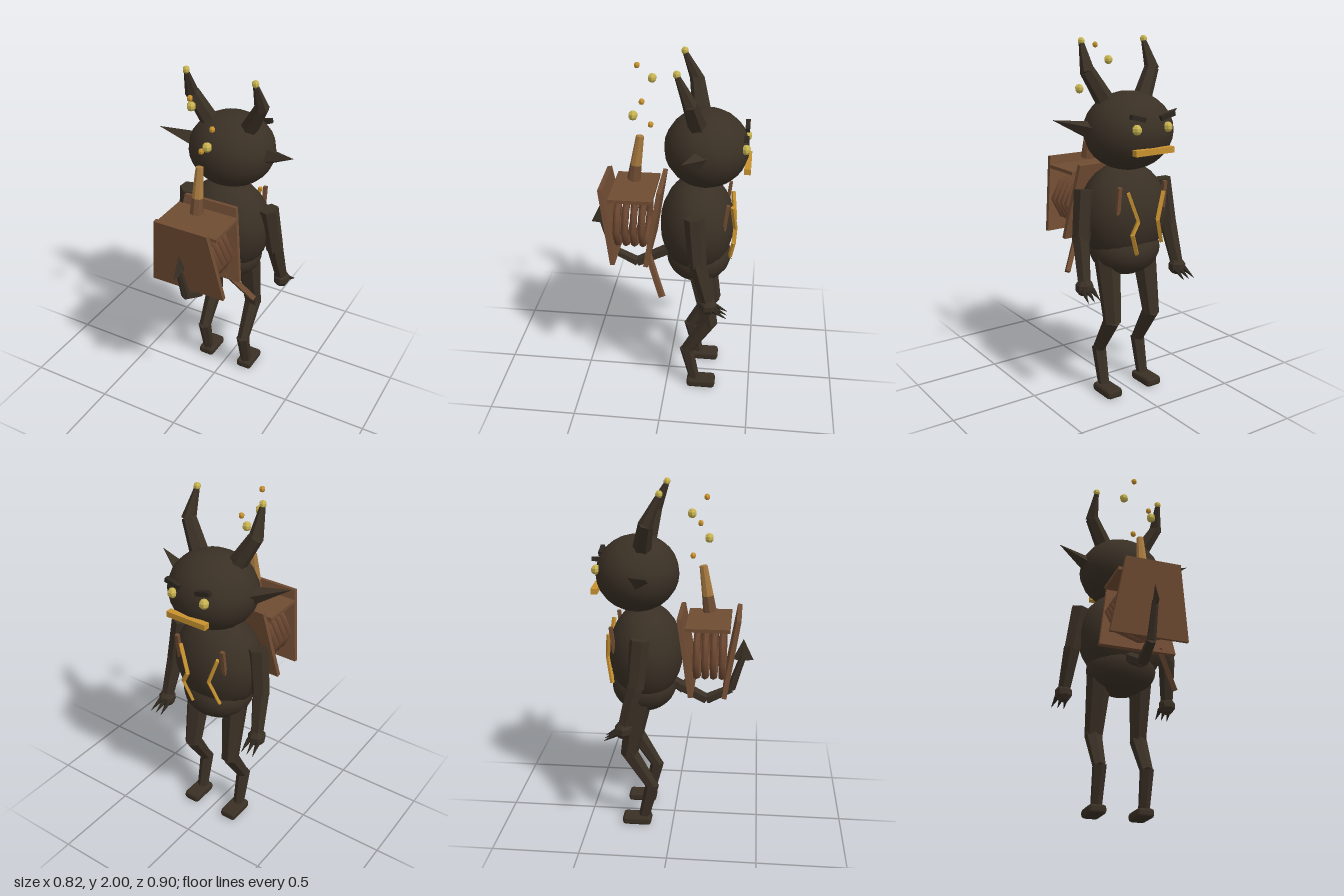
import * as THREE from 'three';
import { RoundedBoxGeometry } from 'three/addons/geometries/RoundedBoxGeometry.js';

const mat = (name, color) => {
  const m = new THREE.MeshStandardMaterial({ color });
  m.name = name;
  return m;
};
const V = (p) => new THREE.Vector3(...p);

export function createModel() {
  const hide = mat('dark hide', 0x3a3025);
  const claw = mat('claw black', 0x2c261e);
  const wood = mat('brown wood', 0x704c33);
  const pleat = mat('pleat brown', 0x6a4630);
  const brass = mat('pale brass', 0xc8b450);
  const amber = mat('amber', 0xc8922f);
  const copper = mat('copper', 0xa97a40);

  const root = new THREE.Group();
  root.name = 'hornedCreature';

  const add = (name, geo, material, pos = [0, 0, 0], rot = [0, 0, 0]) => {
    const m = new THREE.Mesh(geo, material);
    m.name = name;
    m.position.set(...pos);
    m.rotation.set(...rot);
    root.add(m);
    return m;
  };
  // faceted normals
  const flat = (g) => {
    const n = g.index ? g.toNonIndexed() : g;
    n.computeVertexNormals();
    return n;
  };
  const ellipsoid = (name, r, pos, w = 20, h = 14) => {
    const g = new THREE.SphereGeometry(1, w, h);
    g.scale(...r);
    return add(name, g, hide, pos);
  };
  // tapered prism from a to b
  const limb = (name, a, b, ra, rb, material = hide, sides = 6) => {
    const d = V(b).sub(V(a));
    const m = add(name, flat(new THREE.CylinderGeometry(rb, ra, d.length(), sides)), material,
      V(a).lerp(V(b), 0.5).toArray());
    m.quaternion.setFromUnitVectors(new THREE.Vector3(0, 1, 0), d.normalize());
    return m;
  };
  // square bar from a to b
  const bar = (name, a, b, w, t, material) => {
    const d = V(b).sub(V(a));
    const m = add(name, new THREE.BoxGeometry(w, d.length(), t), material,
      V(a).lerp(V(b), 0.5).toArray());
    m.quaternion.setFromUnitVectors(new THREE.Vector3(0, 1, 0), d.normalize());
    return m;
  };
  const bead = (name, r, material, pos) =>
    add(name, flat(new THREE.SphereGeometry(r, 6, 5)), material, pos);

  // torso and head
  ellipsoid('head', [0.25, 0.212, 0.232], [0, 1.512, -0.206]);
  ellipsoid('chest', [0.262, 0.285, 0.21], [0, 1.05, -0.163]);
  ellipsoid('pelvis', [0.205, 0.15, 0.185], [0, 0.85, -0.175]);

  for (const s of [-1, 1]) {
    const p = (x, y, z) => [s * x, y, z];

    // horns with brass tips
    limb('hornBase', p(0.12, 1.67, -0.165), p(0.21, 1.83, -0.13), 0.052, 0.04);
    limb('hornTip', p(0.21, 1.82, -0.133), p(0.203, 1.975, -0.062), 0.04, 0.014);
    bead('hornBead', 0.021, brass, p(0.203, 1.98, -0.062));

    // ears
    const ear = limb('ear', p(0.2, 1.52, -0.185), p(0.412, 1.588, -0.11), 0.065, 0.001, hide, 4);
    ear.scale.x = 0.85;

    // face
    bead('eye', 0.028, brass, p(0.1, 1.55, -0.42));
    add('brow', new THREE.BoxGeometry(0.09, 0.025, 0.025), claw, p(0.095, 1.608, -0.42), [0, 0, s * 0.25]);

    // arms
    limb('upperArm', p(0.258, 1.21, -0.165), p(0.295, 0.94, -0.19), 0.056, 0.05);
    limb('forearm', p(0.295, 0.96, -0.188), p(0.318, 0.71, -0.255), 0.05, 0.036);
    add('hand', flat(new THREE.SphereGeometry(0.052, 7, 5)), hide, p(0.318, 0.7, -0.255));
    for (const k of [-1, 0, 1])
      limb('finger', p(0.318 + k * 0.028, 0.69, -0.285), p(0.323 + k * 0.037, 0.647, -0.36), 0.016, 0.001, claw, 5);

    // legs
    limb('thigh', p(0.125, 0.83, -0.185), p(0.135, 0.45, -0.255), 0.075, 0.05);
    limb('shin', p(0.135, 0.47, -0.255), p(0.137, 0.25, -0.122), 0.05, 0.036);
    limb('ankle', p(0.137, 0.265, -0.12), p(0.137, 0.04, -0.172), 0.04, 0.032);
    add('foot', new RoundedBoxGeometry(0.1, 0.052, 0.17, 1, 0.018), hide, p(0.137, 0.027, -0.212));

    // chest straps
    bar('strap', p(0.15, 1.09, -0.322), p(0.15, 1.24, -0.34), 0.022, 0.02, wood);
  }

  // mouth
  add('mouth', new THREE.BoxGeometry(0.246, 0.032, 0.036), amber, [0, 1.432, -0.432]);

  // glowing zigzag cracks on the belly
  const cracks = [
    [[0.11, 1.21, -0.362], [0.055, 1.05, -0.38], [0.09, 0.98, -0.375], [0.045, 0.86, -0.355]],
    [[-0.13, 1.19, -0.355], [-0.08, 1.04, -0.372], [-0.13, 0.9, -0.342]],
  ];
  for (const c of cracks)
    for (let i = 0; i + 1 < c.length; i++) bar('crack', c[i], c[i + 1], 0.016, 0.02, amber);

  // tail with a flattened arrow tip
  const tail = [[0, 0.88, -0.03], [0, 0.765, 0.185], [0, 0.835, 0.325], [0, 1.04, 0.39]];
  const tailR = [0.036, 0.032, 0.026, 0.018];
  for (let i = 0; i < 3; i++) limb('tail', tail[i], tail[i + 1], tailR[i], tailR[i + 1]);
  const tip = add('tailTip', flat(new THREE.ConeGeometry(0.06, 0.125, 4)), hide, [0, 1.078, 0.39]);
  tip.scale.x = 0.18;

  // bellows box: two leaning trapezoid boards
  const shape = new THREE.Shape([[-0.225, -0.218], [0.225, -0.218], [0.16, 0.218], [-0.16, 0.218]]
    .map(([x, y]) => new THREE.Vector2(x, y)));
  const board = new THREE.ExtrudeGeometry(shape, { depth: 0.026, bevelEnabled: false });
  board.translate(0, 0, -0.013);
  add('outerBoard', board, wood, [0, 1.082, 0.328], [0.16, 0, 0]);
  add('innerBoard', board, wood, [0, 1.082, 0.072], [-0.16, 0, 0]);
  add('boxLid', new THREE.BoxGeometry(0.37, 0.02, 0.245), wood, [0, 1.245, 0.195]);

  // pleats
  for (let i = 0; i < 4; i++) {
    const ring = add('pleat', new THREE.TorusGeometry(0.16, 0.021, 6, 8), pleat, [0, 1.058, 0.133 + i * 0.0475]);
    ring.scale.set(1.12, 0.88, 1);
  }

  // pipe and drifting sparks
  limb('pipeBase', [0, 1.3, 0.197], [0, 1.39, 0.184], 0.038, 0.032, wood, 8);
  limb('pipe', [0, 1.39, 0.184], [0, 1.56, 0.158], 0.032, 0.022, copper, 8);
  bead('spark', 0.017, amber, [-0.042, 1.942, 0.175]);
  bead('spark', 0.026, brass, [-0.08, 1.862, 0.1]);
  bead('spark', 0.017, amber, [0.063, 1.78, 0.137]);
  bead('spark', 0.027, brass, [0.06, 1.7, 0.185]);
  bead('spark', 0.017, amber, [-0.022, 1.62, 0.103]);

  // crank handle
  bar('crank', [0.13, 0.9, 0.105], [0.262, 0.7, 0.008], 0.03, 0.026, wood);

  return root;
}
